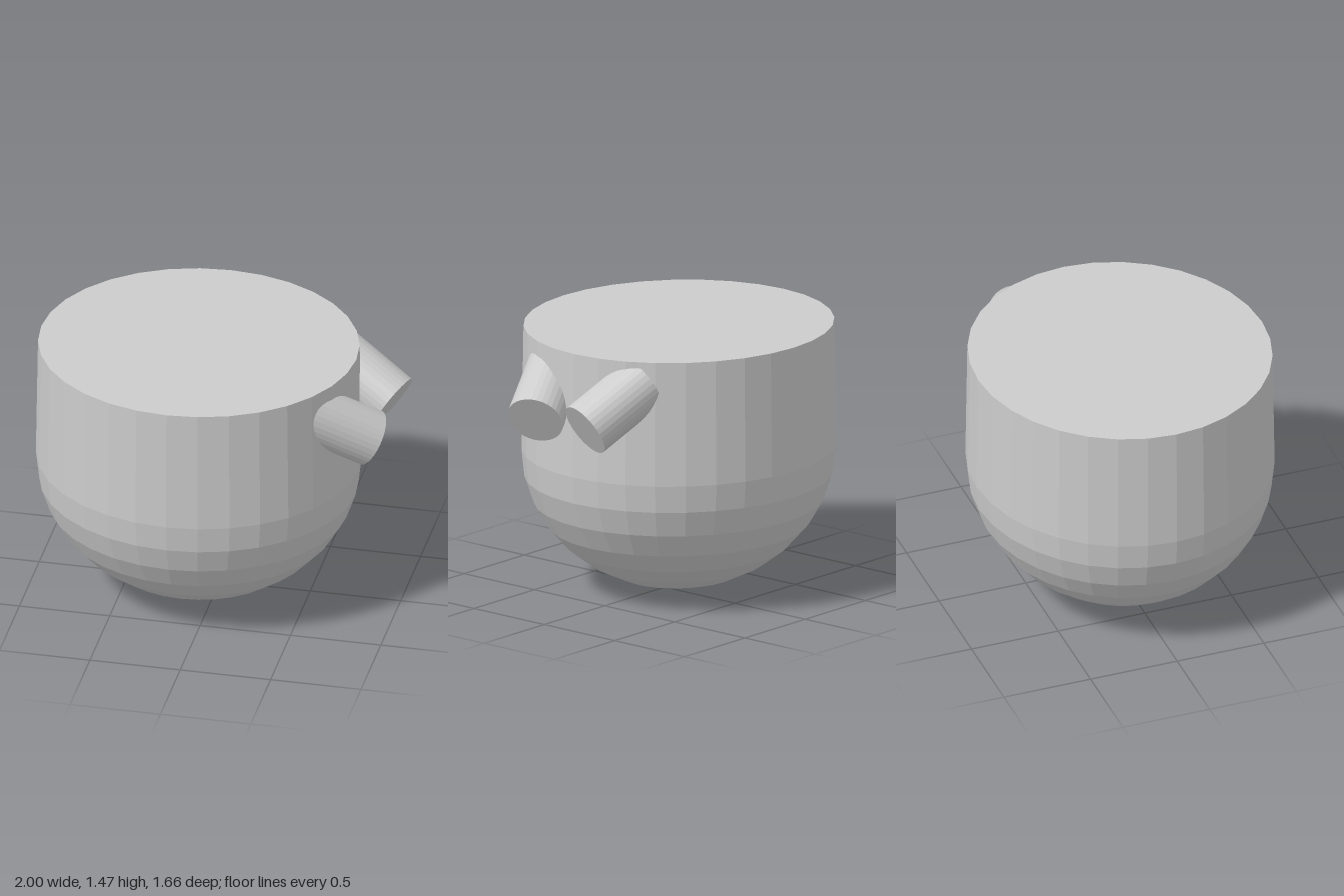
import * as THREE from 'three';

const SEGMENTS = 32;

export function createModel() {
  const model = new THREE.Group();
  const material = new THREE.MeshStandardMaterial({ color: 0xcccccc, flatShading: true });

  // Solid round-bottomed body: hemisphere, slightly tapering wall, flat lid
  const equator = 0.775;
  const profile = [];
  for (let i = 0; i <= 8; i++) {
    const a = (i / 8) * Math.PI / 2;
    profile.push(new THREE.Vector2(Math.sin(a), equator * (1 - Math.cos(a))));
  }
  profile.push(new THREE.Vector2(0.987, 1.465), new THREE.Vector2(0, 1.465));
  const body = new THREE.Mesh(new THREE.LatheGeometry(profile, SEGMENTS), material);
  body.name = 'body';
  body.scale.set(0.883, 1, 0.829); // slightly oval plan
  body.position.x = -0.117;
  model.add(body);

  // Stub running from its outer face back into the wall
  const addStub = (name, tip, direction) => {
    const length = 0.42;
    const axis = new THREE.Vector3(...direction).normalize();
    const stub = new THREE.Mesh(new THREE.CylinderGeometry(0.155, 0.155, length, SEGMENTS), material);
    stub.name = name;
    stub.quaternion.setFromUnitVectors(new THREE.Vector3(0, 1, 0), axis);
    stub.position.set(...tip).addScaledVector(axis, -length / 2);
    model.add(stub);
  };
  addStub('frontStub', [0.876, 1.09, 0.171], [0.805, -0.49, -0.335]);
  addStub('backStub', [0.913, 1.111, -0.216], [0.83, -0.49, 0.25]);

  return model;
}
